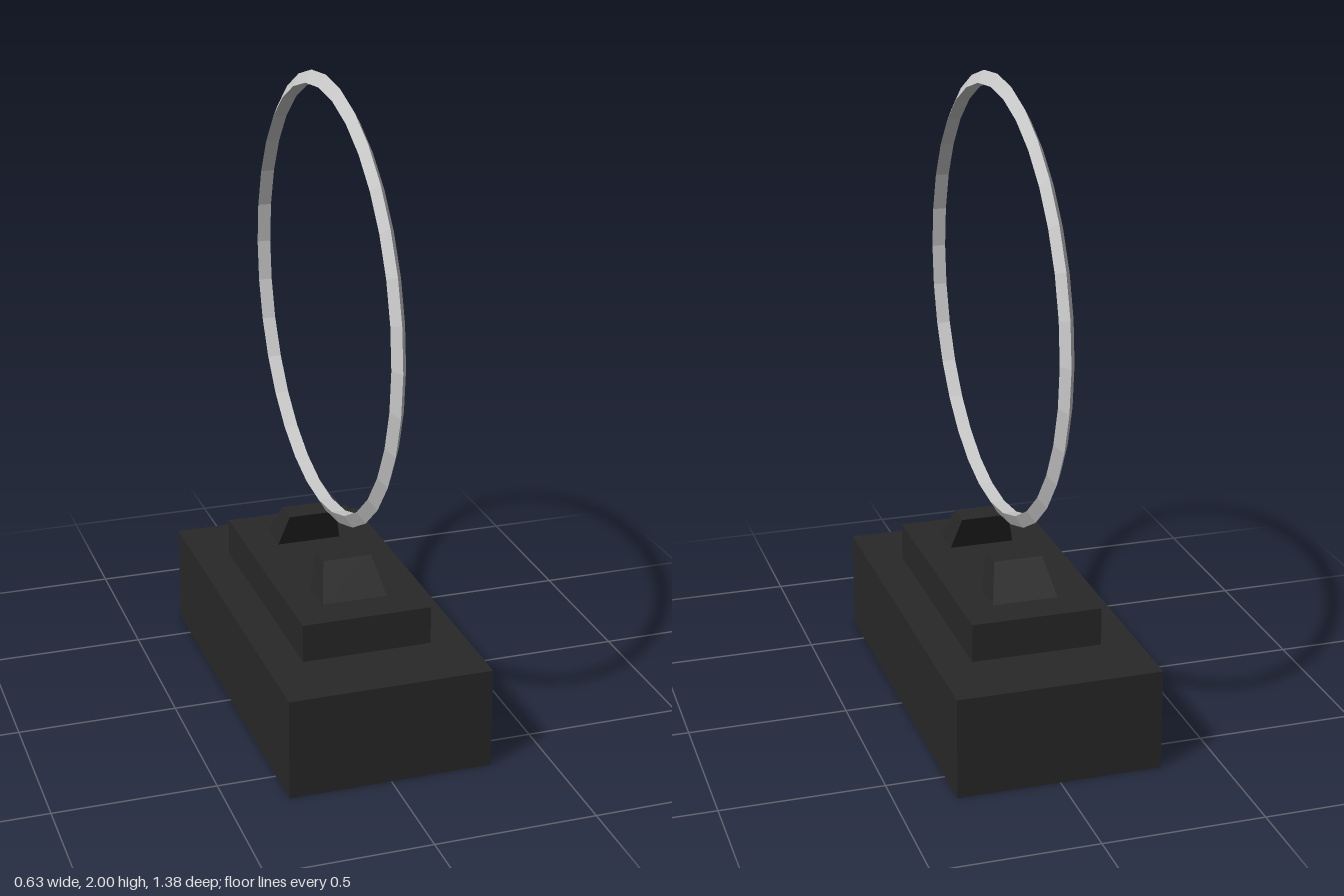
import * as THREE from 'three';

const dark = new THREE.MeshStandardMaterial({ color: 0x282828, flatShading: true });
const grey = new THREE.MeshStandardMaterial({ color: 0xcccccc, flatShading: true });

function addMesh(parent, name, geometry, material) {
  const mesh = new THREE.Mesh(geometry, material);
  mesh.name = name;
  parent.add(mesh);
  return mesh;
}

// Box standing on y0
function slab(width, y0, y1, depth) {
  return new THREE.BoxGeometry(width, y1 - y0, depth).translate(0, (y0 + y1) / 2, 0);
}

// Tapered block whose top leans towards the middle of the stand
function clampGeometry() {
  const bottom = { y: 0.438, x: 0.103, near: 0.172, far: 0.291 };
  const top = { y: 0.547, x: 0.077, near: 0.131, far: 0.216 };
  const geometry = new THREE.BoxGeometry(1, 1, 1);
  const p = geometry.attributes.position;
  for (let i = 0; i < p.count; i++) {
    const end = p.getY(i) > 0 ? top : bottom;
    p.setXYZ(i, Math.sign(p.getX(i)) * end.x, end.y, p.getZ(i) > 0 ? end.far : end.near);
  }
  geometry.computeVertexNormals();
  return geometry;
}

export function createModel() {
  const model = new THREE.Group();
  model.name = 'ringOnStand';

  // Stepped stand
  addMesh(model, 'base', slab(0.635, 0, 0.318, 1.27), dark);
  addMesh(model, 'plinth', slab(0.407, 0.318, 0.438, 0.816), dark);

  // Pair of facing clamps
  const clamp = clampGeometry();
  addMesh(model, 'frontClamp', clamp, dark);
  addMesh(model, 'backClamp', clamp, dark).rotation.y = Math.PI;

  // Floating ring with a triangular section, its sharp edge outwards
  const ring = addMesh(model, 'ring', new THREE.TorusGeometry(0.667, 0.025, 3, 32), grey);
  ring.rotation.y = Math.PI / 2;
  ring.position.y = 1.308;

  return model;
}
